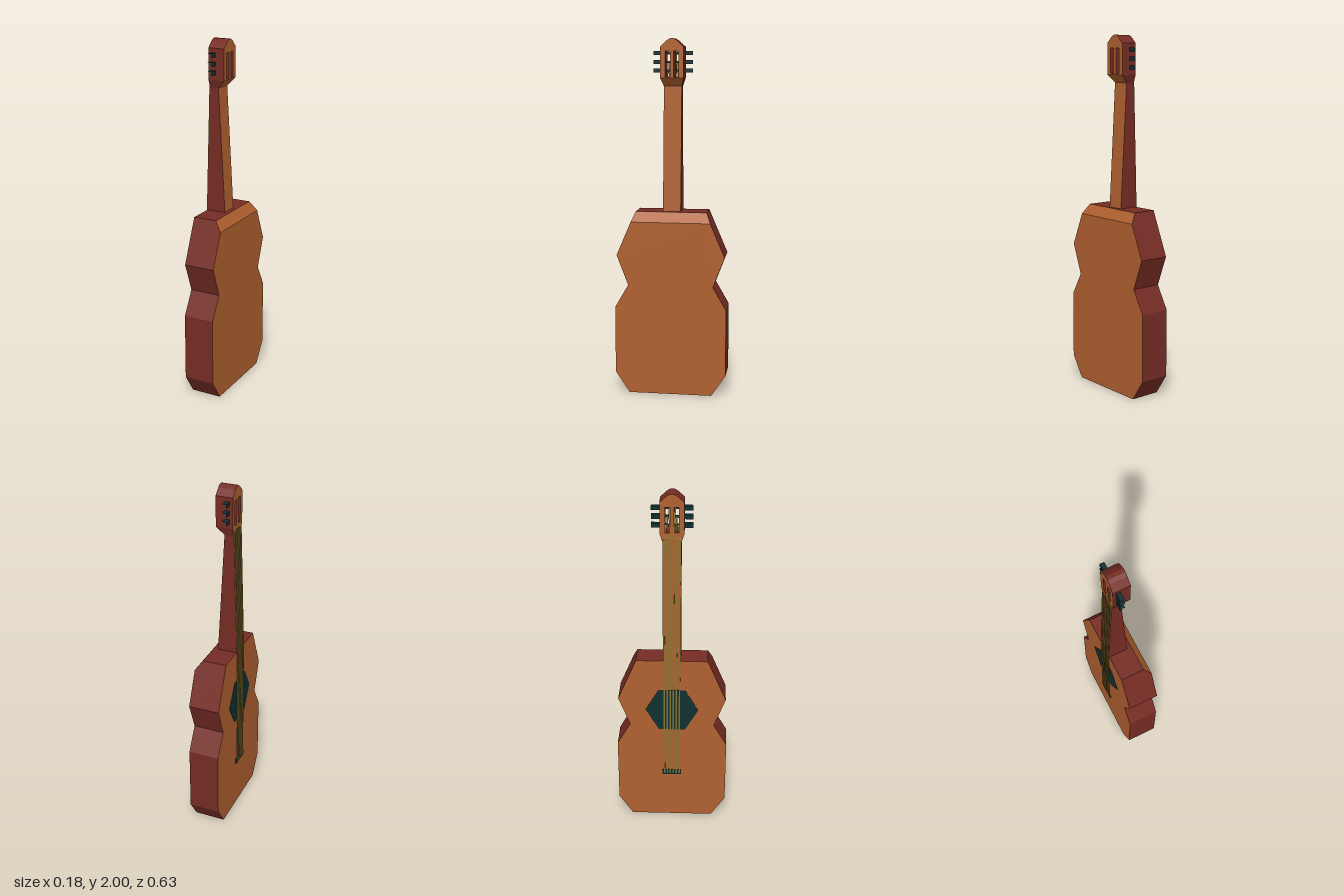
import * as THREE from 'three';

const mat = (name, color) => {
  const m = new THREE.MeshStandardMaterial({ color });
  m.name = name;
  return m;
};

export function createModel() {
  const wood = mat('orange wood', 0xb0602f);
  const red = mat('red wood', 0x752c24);
  const teal = mat('dark teal', 0x0f3030);
  const gold = mat('string gold', 0x85722f);
  const model = new THREE.Group();

  const add = (parent, name, geometry, material) => {
    const mesh = new THREE.Mesh(geometry, material);
    mesh.name = name;
    parent.add(mesh);
    return mesh;
  };
  const group = (name) => {
    const g = new THREE.Group();
    g.name = name;
    model.add(g);
    return g;
  };

  // Slab from half an outline [z, y], mirrored in z. Its front and back x are
  // functions of y; the broad faces are orange and the rim is red.
  const slab = (parent, name, half, frontX, backX, holes = []) => {
    const mirrored = half.map(([z, y]) => [-z, y]).reverse();
    const shape = new THREE.Shape([...half, ...mirrored].map(([z, y]) => new THREE.Vector2(z, y)));
    holes.forEach(([z0, y0, z1, y1]) => shape.holes.push(new THREE.Path([
      new THREE.Vector2(z0, y0), new THREE.Vector2(z0, y1),
      new THREE.Vector2(z1, y1), new THREE.Vector2(z1, y0)])));
    const g = new THREE.ExtrudeGeometry(shape, { depth: 1, bevelEnabled: false });
    g.rotateY(Math.PI / 2);
    const p = g.attributes.position;
    for (let i = 0; i < p.count; i++) {
      const y = p.getY(i);
      p.setX(i, p.getX(i) > 0.5 ? backX(y) : frontX(y));
    }
    g.computeVertexNormals();
    return add(parent, name, g, [wood, red]);
  };
  const ramp = (y0, x0, y1, x1) => (y) => x0 + (x1 - x0) * (y - y0) / (y1 - y0);
  const flat = (x) => () => x;

  // Body, with a sloped shoulder at the top of the back
  const body = group('body');
  slab(body, 'bodyShell',
    [[0.235, 0], [0.315, 0.12], [0.315, 0.5], [0.24, 0.63], [0.305, 0.8], [0.2236, 0.99]],
    flat(-0.086), flat(0.09));
  slab(body, 'bodyShoulder', [[0.2236, 0.99], [0.2, 1.045]],
    flat(-0.086), ramp(0.99, 0.09, 1.045, 0.05));

  // Tapering neck
  slab(model, 'neck', [[0.05, 1.04], [0.05, 1.745]],
    ramp(1.04, -0.088, 1.745, -0.068), ramp(1.04, 0.025, 1.745, -0.015));

  // Slotted head
  const head = group('head');
  slab(head, 'headBase', [[0.05, 1.74], [0.065, 1.785]],
    flat(-0.067), ramp(1.74, -0.015, 1.785, 0.028));
  slab(head, 'headPlate',
    [[0.065, 1.785], [0.065, 1.955], [0.03, 1.988], [0.01, 2.0]],
    flat(-0.067), flat(0.028),
    [[0.011, 1.792, 0.037, 1.93], [-0.037, 1.792, -0.011, 1.93]]);

  // Square pegs, open at the ends, and their posts across the slots
  const pegs = group('tuningPegs');
  const pegY = [1.825, 1.872, 1.92];
  const tube = (width, height, length) => {
    const g = new THREE.CylinderGeometry(Math.SQRT1_2, Math.SQRT1_2, length, 4, 1, true);
    g.rotateY(Math.PI / 4);
    g.rotateX(Math.PI / 2);
    g.scale(width, height, 1);
    return g.toNonIndexed();
  };
  for (const side of [-1, 1]) {
    for (const y of pegY) {
      const knobGeometry = tube(0.025, 0.022, 0.046);
      const postGeometry = tube(0.012, 0.012, 0.03);
      knobGeometry.computeVertexNormals();
      postGeometry.computeVertexNormals();
      add(pegs, 'pegKnob', knobGeometry, teal).position.set(-0.037, y, side * 0.087);
      add(pegs, 'pegPost', postGeometry, teal).position.set(-0.037, y, side * 0.024);
    }
  }

  // Six-sided sound hole plate
  const hole = new THREE.CylinderGeometry(0.15, 0.15, 0.003, 6);
  hole.rotateZ(Math.PI / 2);
  add(model, 'soundHole', hole.toNonIndexed(), teal).position.set(-0.0868, 0.73, 0);

  // Bridge
  add(model, 'bridge', new THREE.BoxGeometry(0.008, 0.03, 0.11), teal).position.set(-0.088, 0.305, 0);

  // Strings: thin bars over the body, along the neck and down to the posts
  const strings = group('strings');
  const bar = (a, b) => {
    const mesh = add(strings, 'string',
      new THREE.BoxGeometry(0.003, 0.008, a.distanceTo(b)).rotateZ(Math.PI / 2), gold);
    mesh.geometry.rotateX(-Math.PI / 2);
    mesh.position.copy(a).add(b).multiplyScalar(0.5);
    mesh.quaternion.setFromUnitVectors(new THREE.Vector3(0, 1, 0), b.clone().sub(a).normalize());
    // keep the flat side of each bar toward the front
    mesh.geometry.rotateY(Math.PI / 2);
  };
  for (let i = 0; i < 6; i++) {
    const z = -0.043 + i * 0.0172;
    const side = z < 0 ? -1 : 1;
    const rank = side < 0 ? i : 5 - i;
    const path = [
      new THREE.Vector3(-0.0915, 0.3, z),
      new THREE.Vector3(-0.0905, 1.04, z),
      new THREE.Vector3(-0.07, 1.755, z),
      new THREE.Vector3(-0.043, pegY[rank], side * (0.032 - rank * 0.008)),
    ];
    for (let k = 0; k < 3; k++) bar(path[k], path[k + 1]);
  }
  return model;
}
